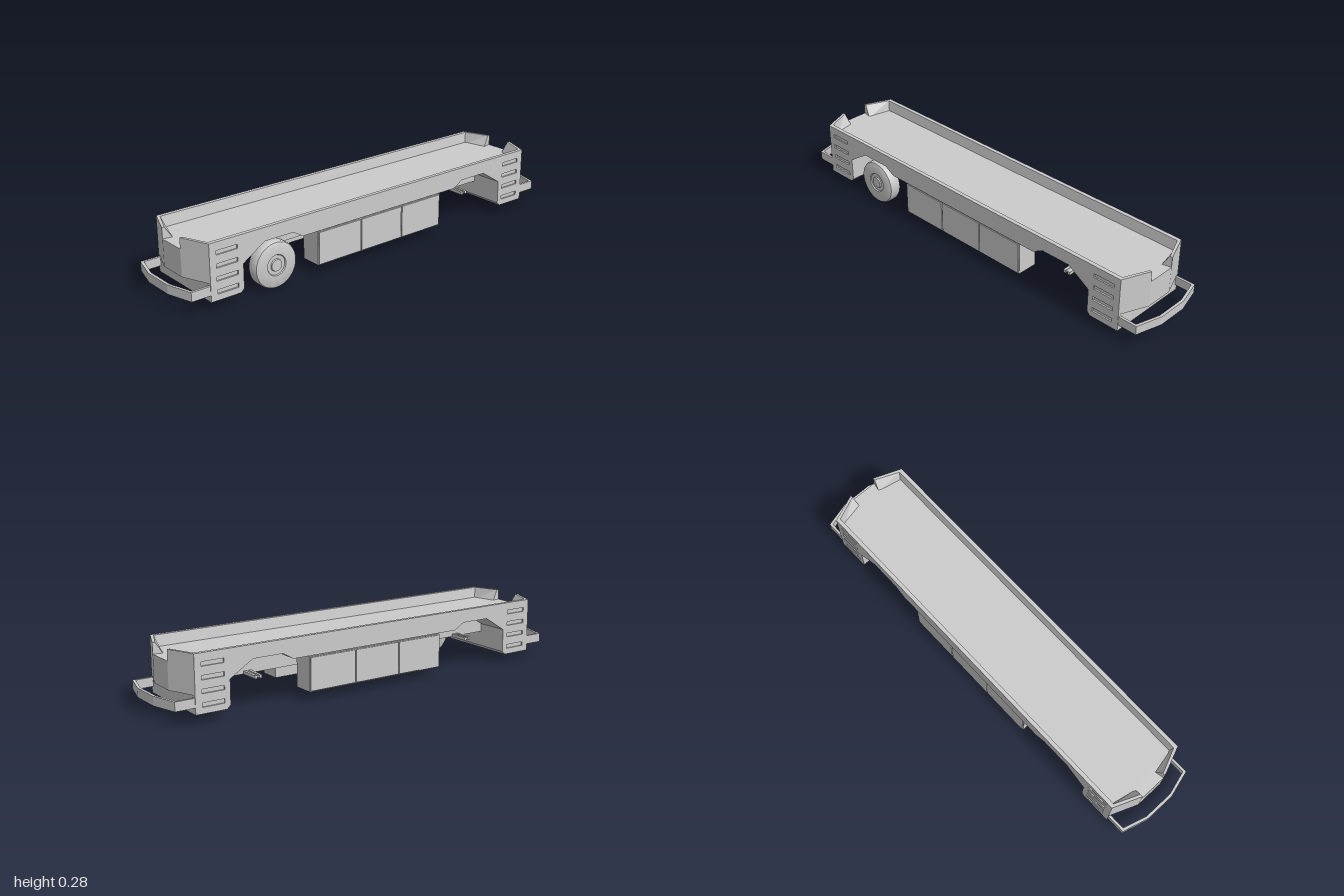
import * as THREE from 'three';
import { toCreasedNormals } from 'three/addons/utils/BufferGeometryUtils.js';

const mat = new THREE.MeshStandardMaterial({ color: 0xcccccc, flatShading: true });
const smooth = new THREE.MeshStandardMaterial({ color: 0xcccccc });

function add(parent, name, geo, x = 0, y = 0, z = 0, m = mat) {
  const mesh = new THREE.Mesh(geo, m);
  mesh.name = name;
  mesh.position.set(x, y, z);
  parent.add(mesh);
  return mesh;
}
const box = (g, name, w, h, d, x, y, z) => add(g, name, new THREE.BoxGeometry(w, h, d), x, y, z);
const shapeOf = pts => new THREE.Shape(pts.map(p => new THREE.Vector2(...p)));
const extrude = (shape, depth) => new THREE.ExtrudeGeometry(shape, { depth, bevelEnabled: false });

// Extrudes a plan outline of [x, z] points between two heights
function plan(pts, y0, y1) {
  const geo = extrude(shapeOf(pts.map(([x, z]) => [x, -z])), y1 - y0);
  return geo.rotateX(-Math.PI / 2).translate(0, y0, 0);
}

// Side outline: end skirts, two wheel arches and the middle sill
function sideShape(top) {
  const half = [[0.88, 0.039], [0.74, 0.039], [0.725, 0.054], [0.725, 0.16], [0.62, 0.226], [0.48, 0.226], [0.43, 0.197]];
  const left = half.map(([x, y]) => [-x, y]);
  return shapeOf([[-0.88, top], ...left, ...half.slice().reverse(), [0.88, top]]);
}

// Low wall round one long side of the deck, joined from cross-sections
function wallGeometry() {
  const y0 = 0.23, y1 = 0.285;
  // outer x,z / inner top x,z / inner bottom x,z
  const end = [
    [0.93, 0.065, 0.918, 0.065, 0.885, 0.056],
    [0.88, 0.19, 0.872, 0.174, 0.862, 0.165],
    [0.872, 0.186, 0.86, 0.174, 0.85, 0.165],
  ];
  const rows = [...end.map(r => r.map((v, i) => (i % 2 ? v : -v))), ...end.slice().reverse()];
  const pos = [], idx = [];
  rows.forEach(([ox, oz, tx, tz, bx, bz], i) => {
    pos.push(ox, y0, oz, ox, y1, oz, tx, y1, tz, bx, y0, bz);
    if (i === rows.length - 1) return;
    for (let k = 0; k < 4; k++) {
      const a = i * 4 + k, b = i * 4 + (k + 1) % 4;
      idx.push(a, a + 4, b + 4, a, b + 4, b);
    }
  });
  const n = (rows.length - 1) * 4;
  idx.push(0, 1, 2, 0, 2, 3, n, n + 2, n + 1, n, n + 3, n + 2);
  const geo = new THREE.BufferGeometry();
  geo.setAttribute('position', new THREE.Float32BufferAttribute(pos, 3));
  geo.setIndex(idx);
  geo.computeVertexNormals();
  return geo;
}

export function createModel() {
  const g = new THREE.Group();
  g.name = 'railCarBody';

  // Core with deck floor and skirts
  add(g, 'deckAndSkirts', extrude(sideShape(0.237), 0.37), 0, 0, -0.185);

  // Outer side panels with shallow vent slots at each corner
  const panel = sideShape(0.285);
  for (const x of [-0.8, 0.8]) {
    for (const y of [0.075, 0.13, 0.185, 0.24]) {
      const slot = [[-0.05, -0.009], [0.05, -0.009], [0.05, 0.009], [-0.05, 0.009]];
      panel.holes.push(new THREE.Path(slot.map(([dx, dy]) => new THREE.Vector2(x + dx, y + dy))));
    }
  }
  const panelGeo = extrude(panel, 0.007);
  add(g, 'frontSidePanel', panelGeo, 0, 0, 0.185);
  add(g, 'backSidePanel', panelGeo, 0, 0, -0.192);

  // Deck walls
  const wall = wallGeometry();
  add(g, 'frontDeckWall', wall);
  add(g, 'backDeckWall', wall).rotation.y = Math.PI;

  // Angled ends and bumper loops
  const endGeo = plan([[0.87, 0.19], [0.88, 0.19], [0.93, 0.065], [0.93, -0.065], [0.88, -0.19], [0.87, -0.19]], 0.118, 0.237);
  const outer = [[0.875, 0.19], [0.967, 0.19], [1, 0.07]];
  const inner = [[0.875, 0.179], [0.957, 0.179], [0.988, 0.07]];
  const flip = pts => pts.map(([x, z]) => [x, -z]);
  const bumperGeo = plan([...outer, ...flip(outer).reverse(), ...flip(inner), ...inner.slice().reverse()], 0.068, 0.108);
  for (const [side, turn] of [['left', 0], ['right', Math.PI]]) {
    add(g, side + 'End', endGeo).rotation.y = turn;
    add(g, side + 'Bumper', bumperGeo).rotation.y = turn;
  }

  // Underframe beam and axle bars
  box(g, 'centreBeam', 1.47, 0.068, 0.08, 0, 0.156, 0);
  for (const x of [-0.56, 0.56]) {
    for (const dx of [-0.011, 0.011]) box(g, 'axleBar', 0.012, 0.014, 0.26, x + dx, 0.128, 0);
    box(g, 'axleWeb', 0.022, 0.008, 0.25, x, 0.128, 0);
  }

  // Equipment boxes under the floor, each with three covers
  for (const s of [-1, 1]) {
    box(g, 'equipmentBox', 0.695, 0.152, 0.097, 0, 0.115, s * 0.1345);
    for (let i = -1; i <= 1; i++) box(g, 'equipmentCover', 0.225, 0.144, 0.006, i * 0.231, 0.115, s * 0.185);
  }

  // Single wheel with stepped hub
  const profile = [[0, -0.03], [0.09, -0.03], [0.098, -0.026], [0.102, -0.018], [0.102, 0.018], [0.098, 0.026],
    [0.09, 0.03], [0.046, 0.03], [0.043, 0.025], [0.027, 0.025], [0.025, 0.031], [0, 0.031]];
  const wheel = new THREE.LatheGeometry(profile.map(p => new THREE.Vector2(...p)), 40);
  wheel.rotateX(Math.PI / 2);
  add(g, 'wheel', toCreasedNormals(wheel, 0.6), -0.56, 0.102, 0.155, smooth);
  return g;
}
